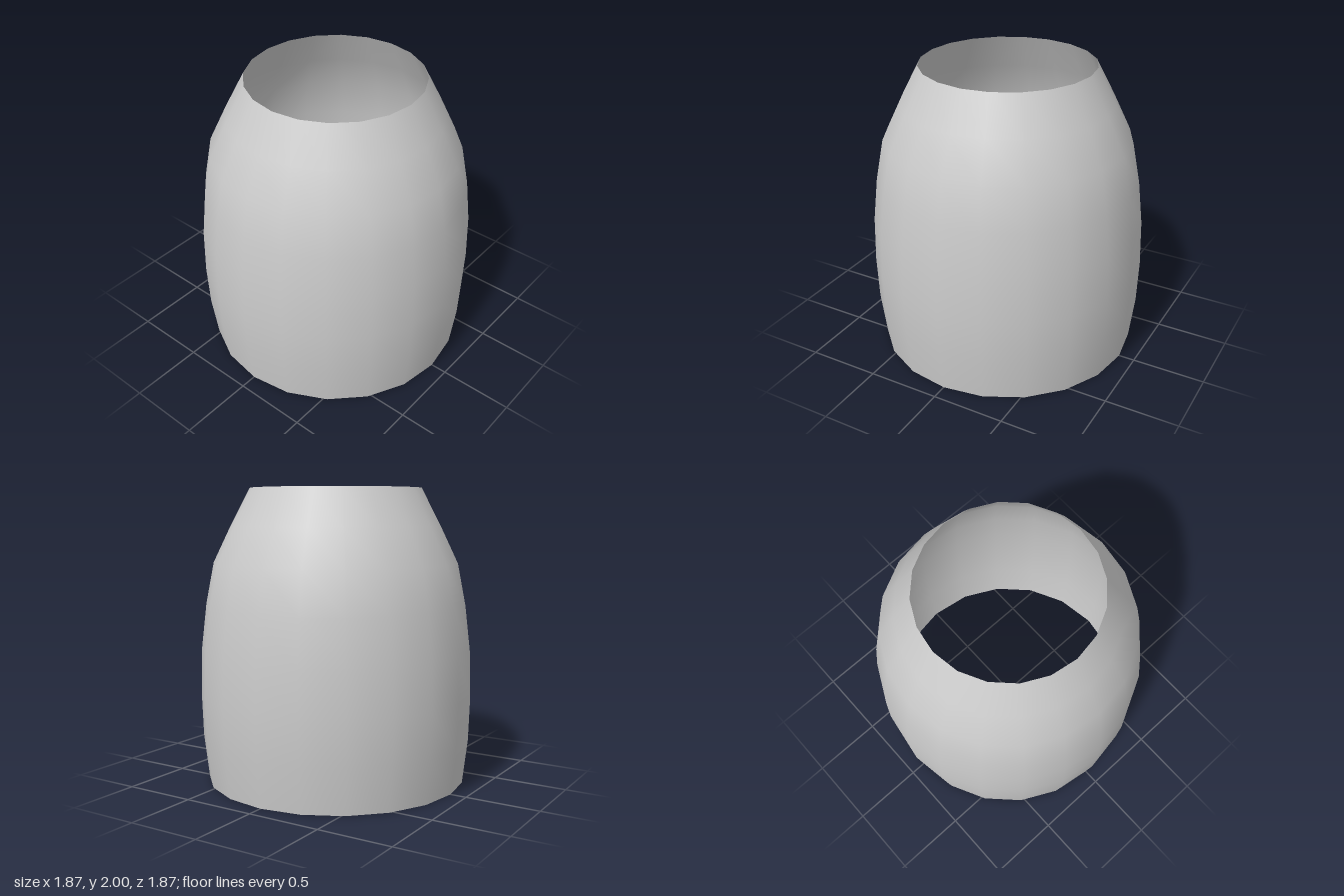
import * as THREE from 'three';

export function createModel() {
  const group = new THREE.Group();
  group.name = 'openShade';

  // Bulging wall, open at both ends: [radius, height] from the bottom rim up
  const profile = [
    [0.89, 0], [0.925, 0.3], [0.935, 0.6], [0.925, 0.92],
    [0.89, 1.22], [0.835, 1.5], [0.715, 1.75], [0.585, 2],
  ].map(([r, y]) => new THREE.Vector2(r, y));

  const shell = new THREE.Mesh(
    new THREE.LatheGeometry(profile, 20),
    new THREE.MeshStandardMaterial({ color: 0xcccccc, side: THREE.DoubleSide })
  );
  shell.name = 'shell';
  group.add(shell);
  return group;
}
